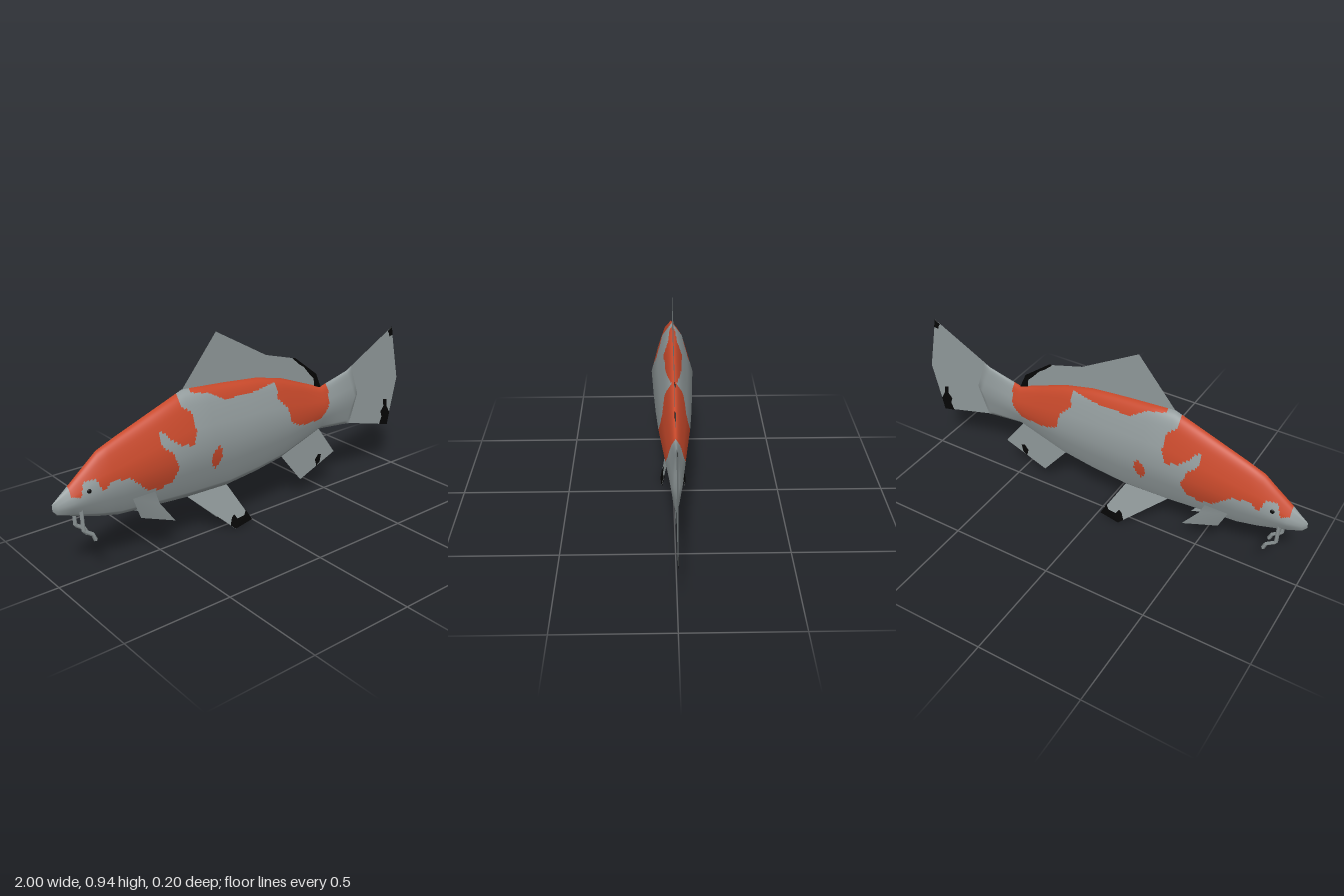
import * as THREE from 'three';

const mat = (name, color, side) => {
  const m = new THREE.MeshStandardMaterial({ color, side });
  m.name = name;
  return m;
};

// Body sections along x: [x, top, bottom, half width, backward bulge of the middle]
const SECTIONS = [
  [-1, 0.378, 0.35, 0.002, 0], [-0.98, 0.395, 0.325, 0.014, 0], [-0.92, 0.445, 0.305, 0.043, 0],
  [-0.79, 0.555, 0.262, 0.067, 0], [-0.7, 0.592, 0.24, 0.075, 0], [-0.36, 0.72, 0.212, 0.1, 0],
  [-0.13, 0.703, 0.205, 0.09, 0], [0.05, 0.685, 0.224, 0.081, 0], [0.2, 0.65, 0.25, 0.07, 0],
  [0.45, 0.553, 0.335, 0.044, 0], [0.625, 0.597, 0.316, 0.024, 0.045], [0.66, 0.61, 0.31, 0, 0.052],
];
// Ring from the top, round +z to the bottom and back: [z share, height share]
const RING = [[0, 1], [0.47, 0.87], [1, 0.5], [0.47, 0.09], [0, 0], [-0.47, 0.09], [-1, 0.5], [-0.47, 0.87]];

// Orange markings, as outlines in x and y
const MARKINGS = [
  [[-0.93, 0.8], [-0.93, 0.4], [-0.89, 0.39], [-0.87, 0.45], [-0.82, 0.455], [-0.8, 0.4], [-0.765, 0.43],
    [-0.685, 0.43], [-0.63, 0.385], [-0.59, 0.34], [-0.52, 0.325], [-0.46, 0.35], [-0.44, 0.41], [-0.47, 0.48],
    [-0.51, 0.52], [-0.52, 0.58], [-0.49, 0.57], [-0.46, 0.53], [-0.41, 0.5], [-0.36, 0.5], [-0.34, 0.555],
    [-0.35, 0.625], [-0.39, 0.66], [-0.4, 0.8]],
  [[-0.33, 0.8], [-0.32, 0.7], [-0.23, 0.68], [-0.165, 0.642], [-0.016, 0.635], [0.15, 0.645], [0.145, 0.57],
    [0.2, 0.52], [0.21, 0.45], [0.28, 0.41], [0.43, 0.4], [0.48, 0.465], [0.49, 0.545], [0.49, 0.8]],
  [[-0.235, 0.457], [-0.213, 0.43], [-0.207, 0.4], [-0.22, 0.355], [-0.24, 0.346], [-0.262, 0.37], [-0.26, 0.425]],
];

function inside(poly, x, y) {
  let hit = false;
  poly.forEach(([ax, ay], i) => {
    const [bx, by] = poly[(i + 1) % poly.length];
    if ((ay > y) !== (by > y) && x < ax + ((bx - ax) * (y - ay)) / (by - ay)) hit = !hit;
  });
  return hit;
}

// Point on the body skin: s runs through the sections, r through the ring
function skin(s, r) {
  const last = SECTIONS.length - 1;
  s = Math.min(Math.max(s, 0), last);
  const i = Math.min(Math.floor(s), last - 1);
  const [x, top, bottom, w, bulge] = SECTIONS[i].map((v, k) => THREE.MathUtils.lerp(v, SECTIONS[i + 1][k], s - i));
  r = (r + 8) % 8;
  const j = Math.floor(r);
  const [a, h] = RING[j].map((v, k) => THREE.MathUtils.lerp(v, RING[(j + 1) % 8][k], r - j));
  return new THREE.Vector3(x + bulge * (1 - Math.abs(2 * h - 1)), bottom + (top - bottom) * h, w * a);
}

// Smooth normal from wide differences over the skin
function skinNormal(s, r) {
  s = Math.min(Math.max(s, 0.1), SECTIONS.length - 1.1);
  const around = skin(s, r + 0.5).sub(skin(s, r - 0.5));
  const along = skin(s + 0.5, r).sub(skin(s - 0.5, r));
  return around.cross(along).normalize();
}

function bodyGeometry() {
  const steps = [];
  for (let i = 0; i < SECTIONS.length - 1; i++) {
    const n = Math.ceil((SECTIONS[i + 1][0] - SECTIONS[i][0]) / 0.0075);
    for (let k = 0; k < n; k++) steps.push(i + k / n);
  }
  steps.push(SECTIONS.length - 1);
  const M = 96, pos = [], nor = [], plain = [], marked = [];
  for (const s of steps) {
    for (let j = 0; j <= M; j++) {
      pos.push(...skin(s, (j * 8) / M));
      nor.push(...skinNormal(s, (j * 8) / M));
    }
  }
  for (let i = 0; i < steps.length - 1; i++) {
    for (let j = 0; j < M; j++) {
      const a = i * (M + 1) + j, c = a + M + 1;
      const p = skin((steps[i] + steps[i + 1]) / 2, ((j + 0.5) * 8) / M);
      const list = MARKINGS.some((m) => inside(m, p.x, p.y)) ? marked : plain;
      list.push(a, a + 1, c, a + 1, c + 1, c);
    }
  }
  const g = new THREE.BufferGeometry();
  g.setAttribute('position', new THREE.Float32BufferAttribute(pos, 3));
  g.setAttribute('normal', new THREE.Float32BufferAttribute(nor, 3));
  g.setIndex([...plain, ...marked]);
  g.addGroup(0, plain.length, 0);
  g.addGroup(plain.length, marked.length, 1);
  return g;
}

export function createModel() {
  const model = new THREE.Group();
  model.name = 'carp';
  const grey = mat('silver grey', 0x929b9c, THREE.FrontSide);
  const finGrey = mat('fin grey', 0x929b9c, THREE.DoubleSide);
  const orange = mat('orange', 0xc8492b, THREE.FrontSide);
  const black = mat('black', 0x050505, THREE.DoubleSide);

  const add = (parent, name, geometry, material) => {
    const mesh = new THREE.Mesh(geometry, material);
    mesh.name = name;
    parent.add(mesh);
    return mesh;
  };

  // Flat sheet from an outline, with depth given by a rule
  const sheet = (outline, depth) => {
    const g = new THREE.ShapeGeometry(new THREE.Shape(outline.map(([x, y]) => new THREE.Vector2(x, y))));
    const p = g.attributes.position;
    for (let i = 0; i < p.count; i++) p.setZ(i, depth(p.getX(i), p.getY(i)));
    g.computeVertexNormals();
    return g;
  };

  // Fin with black patches laid on both faces
  const fin = (name, outline, patches = [], depth = () => 0) => {
    const group = new THREE.Group();
    group.name = name;
    add(group, name + 'Sheet', sheet(outline, depth), finGrey);
    for (const patch of patches) {
      for (const off of [-0.002, 0.002]) {
        add(group, name + 'Patch', sheet(patch, (x, y) => depth(x, y) + off), black);
      }
    }
    model.add(group);
  };

  add(model, 'body', bodyGeometry(), [grey, orange]);

  fin('dorsalFin',
    [[-0.365, 0.71], [-0.175, 0.94], [0.107, 0.78], [0.28, 0.73], [0.42, 0.625], [0.455, 0.55], [0.2, 0.6], [-0.1, 0.65]],
    [[[0.265, 0.734], [0.285, 0.73], [0.42, 0.626], [0.455, 0.548], [0.41, 0.565], [0.405, 0.605], [0.375, 0.635],
      [0.34, 0.675], [0.31, 0.695]]]);

  fin('tailFin',
    [[0.63, 0.6], [0.65, 0.61], [0.94, 0.765], [1, 0.485], [0.945, 0.235], [0.66, 0.312], [0.63, 0.32]],
    [[[0.91, 0.748], [0.94, 0.765], [0.949, 0.722], [0.925, 0.717], [0.92, 0.735]],
      [[0.905, 0.385], [0.93, 0.378], [0.935, 0.34], [0.958, 0.3], [0.945, 0.235], [0.885, 0.25], [0.9, 0.29], [0.89, 0.32],
        [0.91, 0.345]]]);

  fin('analFin',
    [[0.2, 0.265], [0.21, 0.25], [0.335, 0.095], [0.56, 0.185], [0.45, 0.335], [0.35, 0.34]],
    [[[0.43, 0.175], [0.45, 0.2], [0.47, 0.195], [0.462, 0.155], [0.44, 0.14]]]);

  // Paired parts
  for (const side of [1, -1]) {
    const prefix = side > 0 ? 'left' : 'right';

    fin(prefix + 'PelvicFin',
      [[-0.35, 0.215], [-0.12, 0], [-0.02, 0.015], [-0.13, 0.215]],
      [[[-0.12, 0], [-0.02, 0.015], [-0.045, 0.066], [-0.06, 0.045], [-0.1, 0.042], [-0.115, 0.065], [-0.13, 0.055],
        [-0.145, 0.024]]],
      (x, y) => side * Math.max(0, 0.205 - y) * 0.29);

    fin(prefix + 'PectoralFin',
      [[-0.67, 0.33], [-0.62, 0.215], [-0.445, 0.145], [-0.53, 0.26], [-0.56, 0.33]], [],
      (x, y) => side * (0.047 + Math.max(0, y - 0.215) * 0.22));

    // Whisker: a bent four-sided tube
    const path = new THREE.CurvePath();
    const bends = [[-0.89, 0.33], [-0.887, 0.238], [-0.845, 0.208], [-0.833, 0.178]]
      .map(([x, y]) => new THREE.Vector3(x, y, side * 0.034));
    for (let i = 0; i < 3; i++) path.add(new THREE.LineCurve3(bends[i], bends[i + 1]));
    add(model, prefix + 'Whisker', new THREE.TubeGeometry(path, 16, 0.009, 4), finGrey);

    // Eye: small disc lying on the head
    const r = side > 0 ? 1.75 : 6.25;
    const eye = add(model, prefix + 'Eye', new THREE.SphereGeometry(0.01, 12, 8), black);
    eye.scale.z = 0.35;
    eye.position.copy(skin(2.5, r));
    eye.lookAt(eye.position.clone().add(skinNormal(2.5, r)));
  }
  return model;
}
